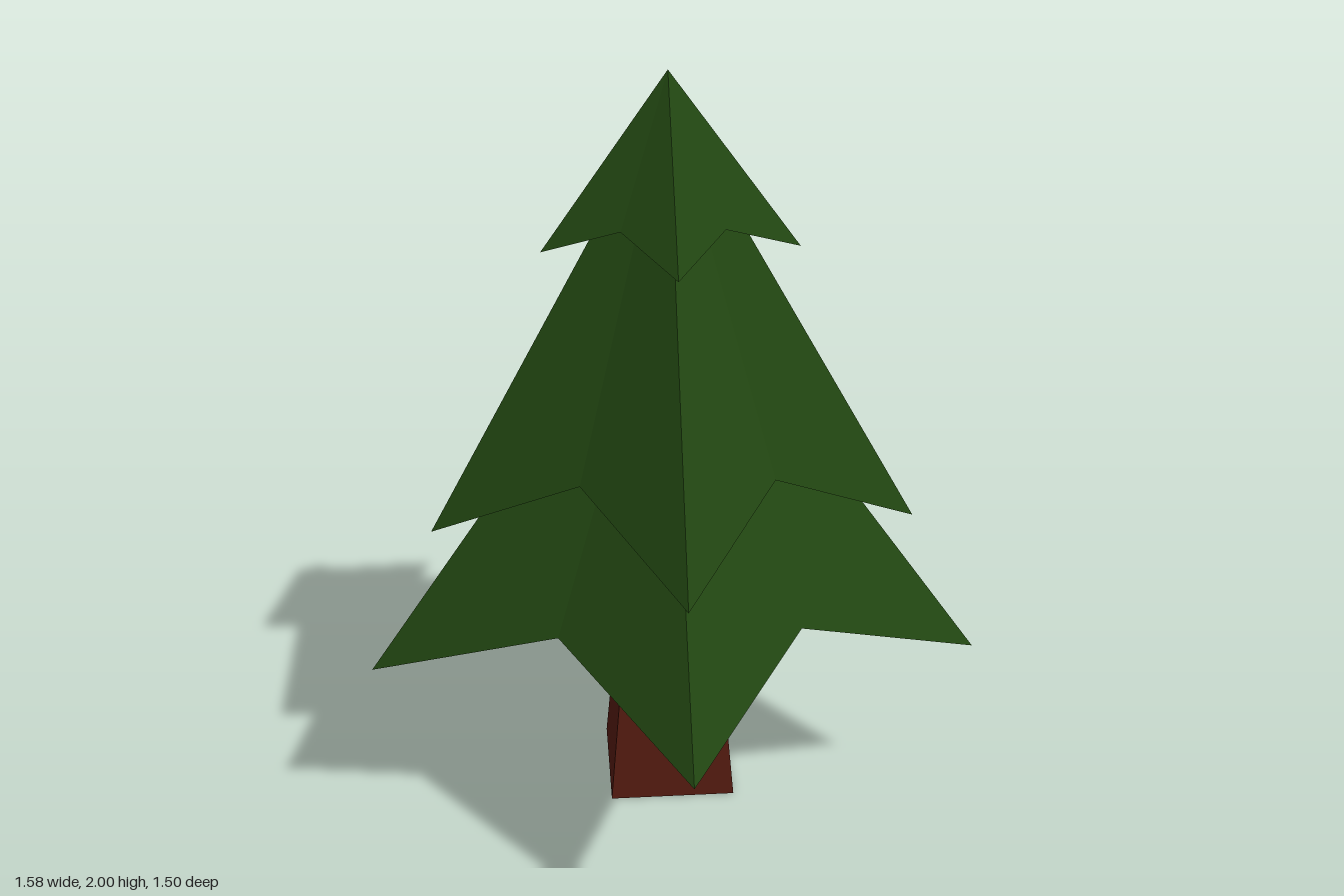
import * as THREE from 'three';

const POINTS = 5;
const AXIS_Z = -0.08;

// Five-pointed star cone: ridges run to low tips, folds run to higher notches.
function starTier({ apex, tipR, tipY, notchR, notchY }) {
  const rim = [];
  for (let i = 0; i < POINTS * 2; i++) {
    const a = (i * Math.PI) / POINTS;
    const isTip = i % 2 === 0;
    const r = isTip ? tipR : notchR;
    rim.push([r * Math.sin(a), isTip ? tipY : notchY, r * Math.cos(a)]);
  }
  const at = (i) => rim[(i + rim.length) % rim.length];
  const top = [0, apex, 0];
  const middle = [0, notchY, 0];
  const pos = [];
  const tri = (...corners) => corners.forEach((c) => pos.push(...c));

  for (let i = 0; i < rim.length; i++) tri(top, at(i), at(i + 1)); // outer slopes
  for (let i = 0; i < rim.length; i += 2) {
    tri(at(i + 1), at(i), at(i - 1)); // underside of a drooping tip
    tri(middle, at(i + 1), at(i - 1)); // flat underside between notches
  }
  const geo = new THREE.BufferGeometry();
  geo.setAttribute('position', new THREE.Float32BufferAttribute(pos, 3));
  geo.computeVertexNormals();
  return geo;
}

export function createModel() {
  const tree = new THREE.Group();
  tree.name = 'pineTree';
  const green = new THREE.MeshStandardMaterial({ color: 0x214511, flatShading: true });
  const brown = new THREE.MeshStandardMaterial({ color: 0x561c11, flatShading: true });

  const add = (name, geo, mat, y = 0) => {
    const mesh = new THREE.Mesh(geo, mat);
    mesh.name = name;
    mesh.position.set(0, y, AXIS_Z);
    tree.add(mesh);
  };

  // Tapered square trunk
  const trunkH = 0.69;
  const trunk = new THREE.CylinderGeometry(0.11 * Math.SQRT2, 0.17 * Math.SQRT2, trunkH, 4);
  trunk.rotateY(Math.PI / 4);
  add('trunk', trunk, brown, trunkH / 2);

  // Three overlapping layers of foliage
  add('lowerFoliage', starTier({ apex: 1.555, tipR: 0.83, tipY: 0.51, notchR: 0.52, notchY: 0.685 }), green);
  add('middleFoliage', starTier({ apex: 1.94, tipR: 0.65, tipY: 0.88, notchR: 0.41, notchY: 1.06 }), green);
  add('upperFoliage', starTier({ apex: 2, tipR: 0.335, tipY: 1.585, notchR: 0.215, notchY: 1.655 }), green);

  return tree;
}
